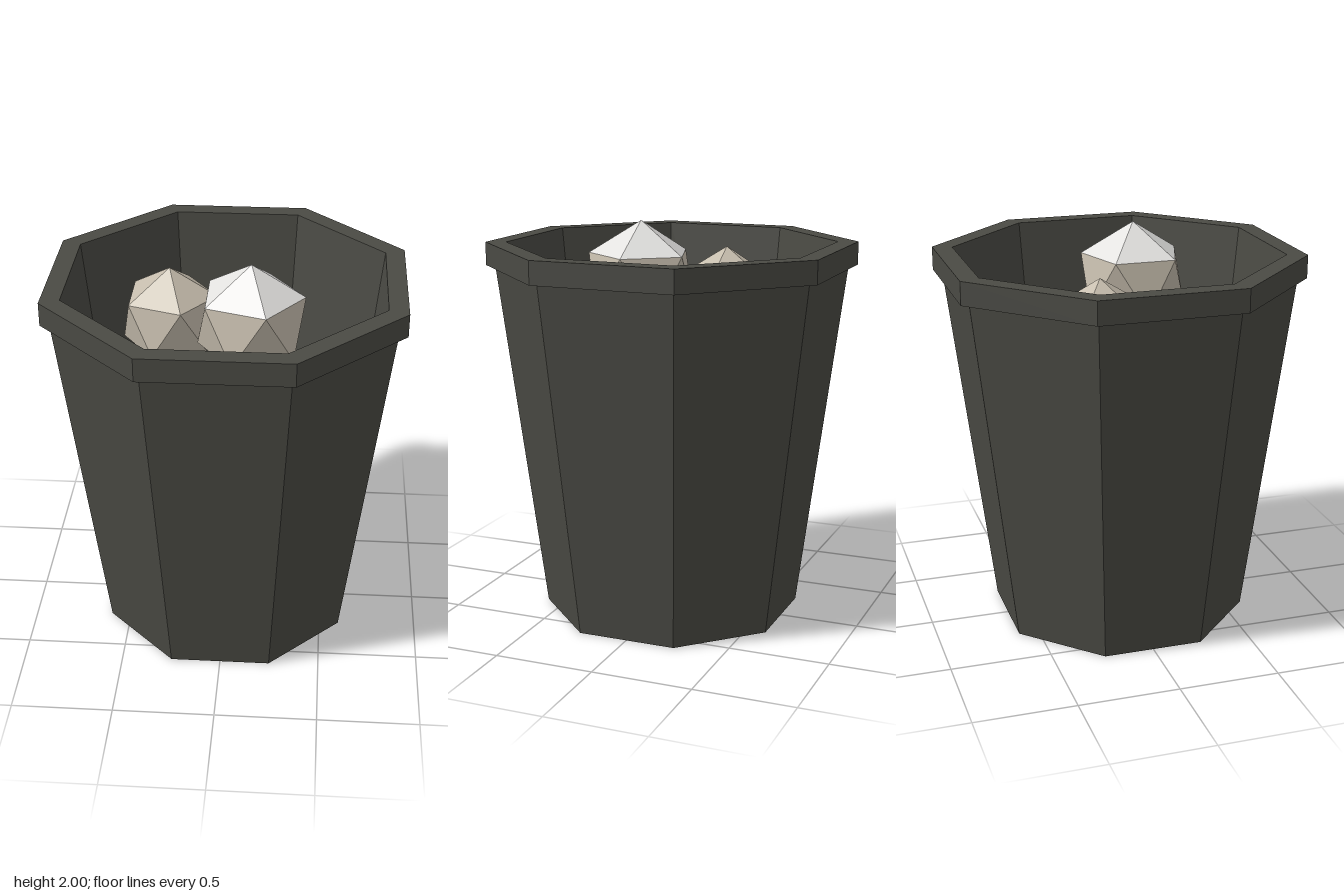
import * as THREE from 'three';

const binMat = new THREE.MeshStandardMaterial({ color: 0x4a4a44, name: 'dark bin plastic' });
const whiteMat = new THREE.MeshStandardMaterial({ color: 0xe2e1df, name: 'white paper' });
const beigeMat = new THREE.MeshStandardMaterial({ color: 0xc6bdad, name: 'beige paper' });

// Separate the faces so that each is shaded flat
function facet(geometry) {
  const flat = geometry.index ? geometry.toNonIndexed() : geometry;
  flat.computeVertexNormals();
  return flat;
}

// Eight-sided turned part with flat sides towards the axes
function octagonPart(name, profile) {
  const points = profile.map(([r, y]) => new THREE.Vector2(r, y));
  const mesh = new THREE.Mesh(facet(new THREE.LatheGeometry(points, 8, Math.PI / 8)), binMat);
  mesh.name = name;
  return mesh;
}

// Mesh from a list of triangles
function triangleMesh(name, triangles, material) {
  const geometry = new THREE.BufferGeometry().setFromPoints(triangles.flat());
  const mesh = new THREE.Mesh(facet(geometry), material);
  mesh.name = name;
  return mesh;
}

// Crumpled paper: twenty-sided ball standing on a corner, its top five faces a cap
function paperBall(name, radius, capMaterial) {
  const ring = (y, turn) => Array.from({ length: 5 }, (_, i) => {
    const a = (i + turn) * Math.PI * 2 / 5;
    return new THREE.Vector3(Math.cos(a) * 0.8944, y, -Math.sin(a) * 0.8944).multiplyScalar(radius);
  });
  const upper = ring(0.4472 , 0), lower = ring(-0.4472, 0.5);
  upper.concat(lower).forEach((p, i) => { p.y = (i < 5 ? 0.4472 : -0.4472) * radius; });
  const top = new THREE.Vector3(0, radius, 0), bottom = new THREE.Vector3(0, -radius, 0);
  const cap = [], base = [];
  for (let i = 0; i < 5; i++) {
    const j = (i + 1) % 5;
    cap.push([top, upper[i], upper[j]]);
    base.push([upper[i], lower[i], upper[j]], [lower[i], lower[j], upper[j]], [bottom, lower[j], lower[i]]);
  }
  const ball = new THREE.Group();
  ball.name = name;
  ball.add(triangleMesh('paperCap', cap, capMaterial), triangleMesh('paperBase', base, beigeMat));
  return ball;
}

export function createModel() {
  const model = new THREE.Group();
  model.name = 'wasteBin';

  // Tapered bin, projecting rim and hollow inside
  model.add(
    octagonPart('binBody', [[0, 0], [0.65, 0], [0.88, 1.77]]),
    octagonPart('rim', [[0.88, 1.77], [0.925, 1.77], [0.925, 1.885], [0.823, 1.885]]),
    octagonPart('binInside', [[0.823, 1.885], [0.617, 0.1], [0, 0.1]]),
  );

  // Two paper balls
  const whiteBall = paperBall('whitePaperBall', 0.29, whiteMat);
  whiteBall.position.set(0.12, 1.71, 0.115);
  const beigeBall = paperBall('beigePaperBall', 0.265, beigeMat);
  beigeBall.position.set(-0.3, 1.57, -0.18);
  model.add(whiteBall, beigeBall);
  return model;
}
